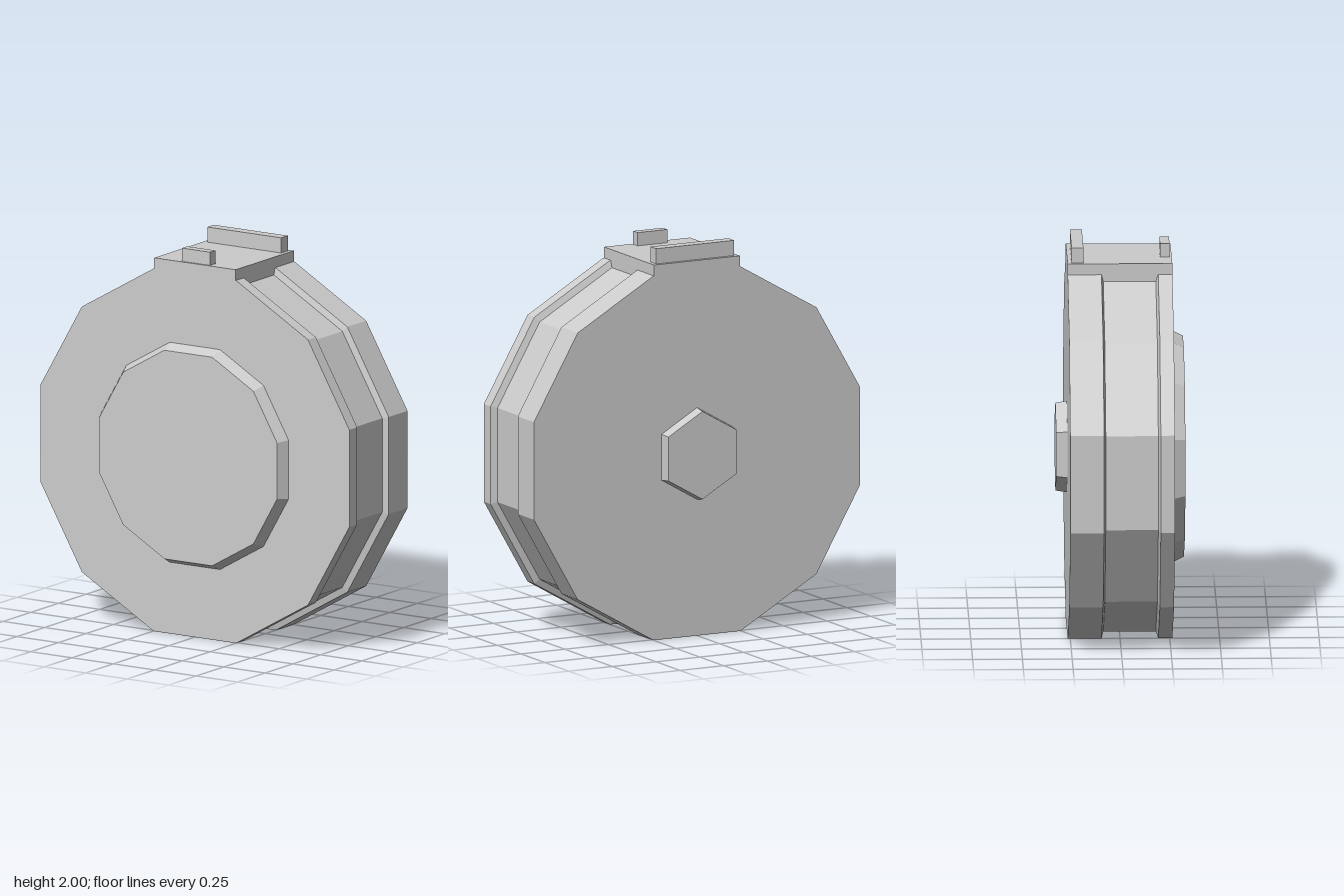
import * as THREE from 'three';

const CENTER_Y = 0.933;

export function createModel() {
  const model = new THREE.Group();
  const material = new THREE.MeshStandardMaterial({ color: 0xcccccc, flatShading: true });

  function add(name, geometry, x, y, z) {
    const mesh = new THREE.Mesh(geometry, material);
    mesh.name = name;
    mesh.position.set(x, y, z);
    model.add(mesh);
  }

  // Faceted solid turned about the z axis; profile is [corner radius, z] from back to front
  function turned(name, profile, sides, startAngle) {
    const points = profile.map(([r, z]) => new THREE.Vector2(r, z));
    const geometry = new THREE.LatheGeometry(points, sides, startAngle).rotateX(Math.PI / 2);
    add(name, geometry, 0, CENTER_Y, 0);
  }

  // Box given by its half width and its y and z ranges
  function block(name, halfWidth, y0, y1, z0, z1) {
    const geometry = new THREE.BoxGeometry(halfWidth * 2, y1 - y0, z1 - z0);
    add(name, geometry, 0, (y0 + y1) / 2, (z0 + z1) / 2);
  }

  // Twelve-sided drum with a shallow groove around its rim
  const flat = 1 / Math.cos(Math.PI / 12);
  const outer = 0.933 * flat;
  const inner = 0.9 * flat;
  turned('drumBody', [
    [0, -0.263], [outer, -0.263], [outer, -0.093], [inner, -0.084],
    [inner, 0.18], [outer, 0.192], [outer, 0.263], [0, 0.263],
  ], 12, Math.PI / 12);

  // Raised, tapered front plate
  turned('frontPlate', [
    [0, 0.25], [0.566 * flat, 0.25], [0.566 * flat, 0.263], [0.537 * flat, 0.323], [0, 0.323],
  ], 12, Math.PI / 12);

  // Hexagonal boss on the back
  turned('backBoss', [
    [0, -0.32], [0.225, -0.32], [0.235, -0.263], [0.235, -0.25], [0, -0.25],
  ], 6, 0);

  // Mounting block on top with its two ridges
  block('topBlock', 0.246, 1.8, 1.922, -0.263, 0.263);
  block('rearRidge', 0.223, 1.91, 2.0, -0.243, -0.183);
  block('frontRidge', 0.085, 1.91, 1.99, 0.204, 0.252);

  return model;
}
